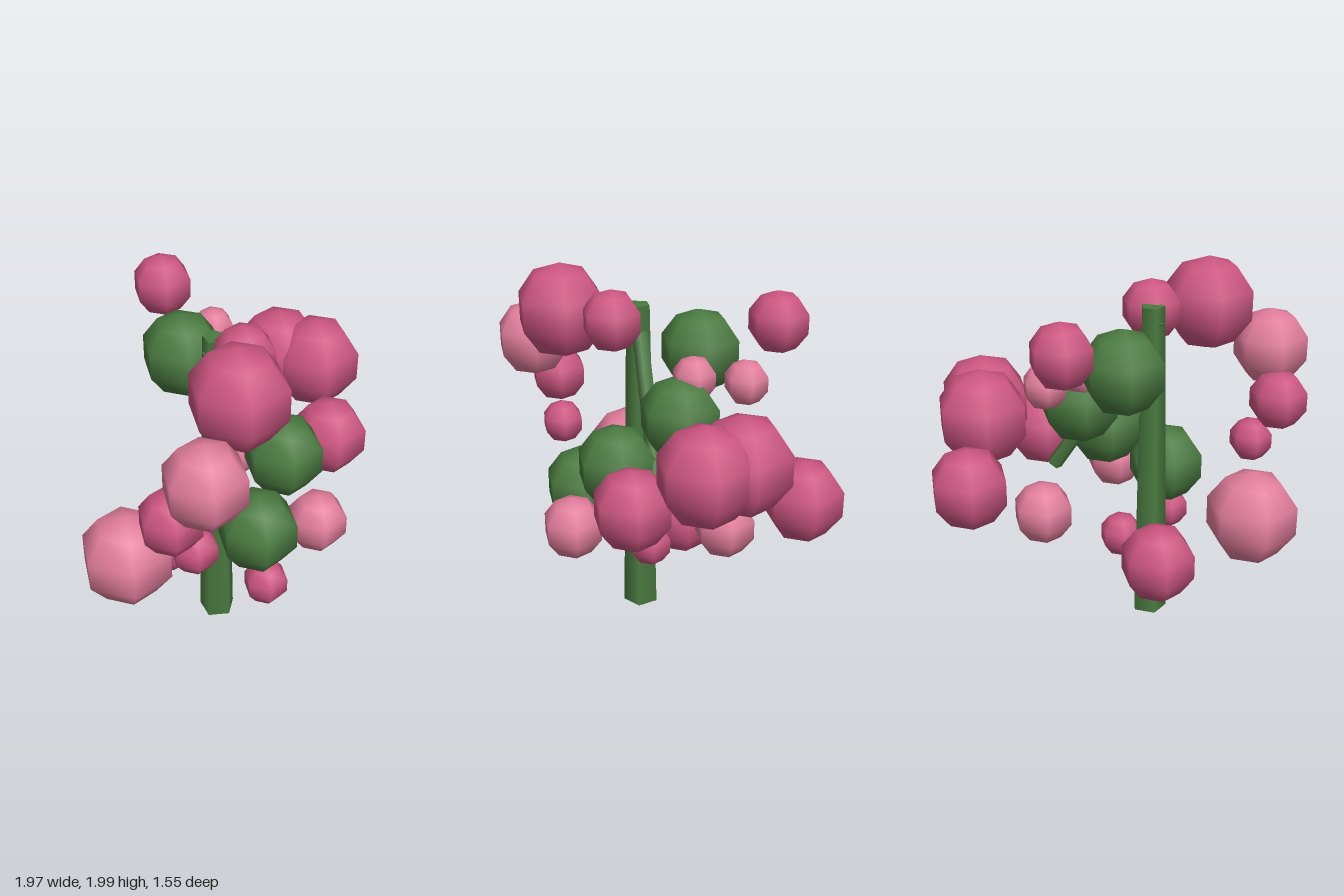
import * as THREE from 'three';

const pink = new THREE.MeshStandardMaterial({ color: 0xcc5580 });
const palePink = new THREE.MeshStandardMaterial({ color: 0xe27d9c });
const green = new THREE.MeshStandardMaterial({ color: 0x4a7a40 });

// Low-poly balls: [x, y, z, radius]
const leaves = [
  [-0.16, 0.775, 0.4, 0.225],
  [0.16, 1.03, 0.265, 0.225],
  [0.195, 1.29, -0.06, 0.223],
  [-0.1, 1.545, -0.235, 0.225],
];
const blossoms = [
  [-0.365, 1.73, 0.465, 0.257],
  [-0.11, 1.735, 0.235, 0.167],
  [0.087, 1.735, -0.603, 0.167],
  [-0.78, 1.22, 0.447, 0.167],
  [-0.64, 0.965, 0.45, 0.125],
  [-0.283, 0.455, -0.185, 0.216],
  [-0.16, 0.455, 0.47, 0.125],
  [0, 0.455, 0.06, 0.125],
  [0.533, 0.97, 0.255, 0.214],
  [0.603, 0.97, -0.603, 0.216],
  [0.743, 1.225, -0.06, 0.257],
  [0.665, 1.225, -0.27, 0.257],
];
const paleBlossoms = [
  [-0.695, 1.475, 0.595, 0.215],
  [-0.74, 0.705, 0.03, 0.257],
  [0.18, 0.71, 0.51, 0.17],
  [0.335, 0.71, -0.275, 0.17],
  [0.15, 1.485, -0.145, 0.12],
  [0.258, 1.485, -0.39, 0.12],
];

function balls(name, list, material) {
  const group = new THREE.Group();
  group.name = name + 's';
  const ball = new THREE.SphereGeometry(1, 6, 5);
  for (const [x, y, z, r] of list) {
    const mesh = new THREE.Mesh(ball, material);
    mesh.name = name;
    mesh.position.set(x, y, z);
    mesh.scale.setScalar(r);
    group.add(mesh);
  }
  return group;
}

// Five-sided tapered limb between two points
function limb(name, from, to, r0, r1) {
  const a = new THREE.Vector3(...from);
  const b = new THREE.Vector3(...to);
  const dir = b.clone().sub(a);
  const mesh = new THREE.Mesh(new THREE.CylinderGeometry(r1, r0, dir.length(), 5), green);
  mesh.name = name;
  mesh.position.copy(a).add(b).multiplyScalar(0.5);
  mesh.quaternion.setFromUnitVectors(new THREE.Vector3(0, 1, 0), dir.normalize());
  return mesh;
}

export function createModel() {
  const model = new THREE.Group();
  model.name = 'blossomTree';
  model.add(
    limb('trunk', [-0.16, 0, 0.084], [-0.16, 1.8, 0.084], 0.1, 0.065),
    limb('branch', [0.4, 0.83, 0.08], [-0.19, 1.73, 0.08], 0.043, 0.043),
    balls('leafClump', leaves, green),
    balls('blossom', blossoms, pink),
    balls('paleBlossom', paleBlossoms, palePink),
  );
  return model;
}
